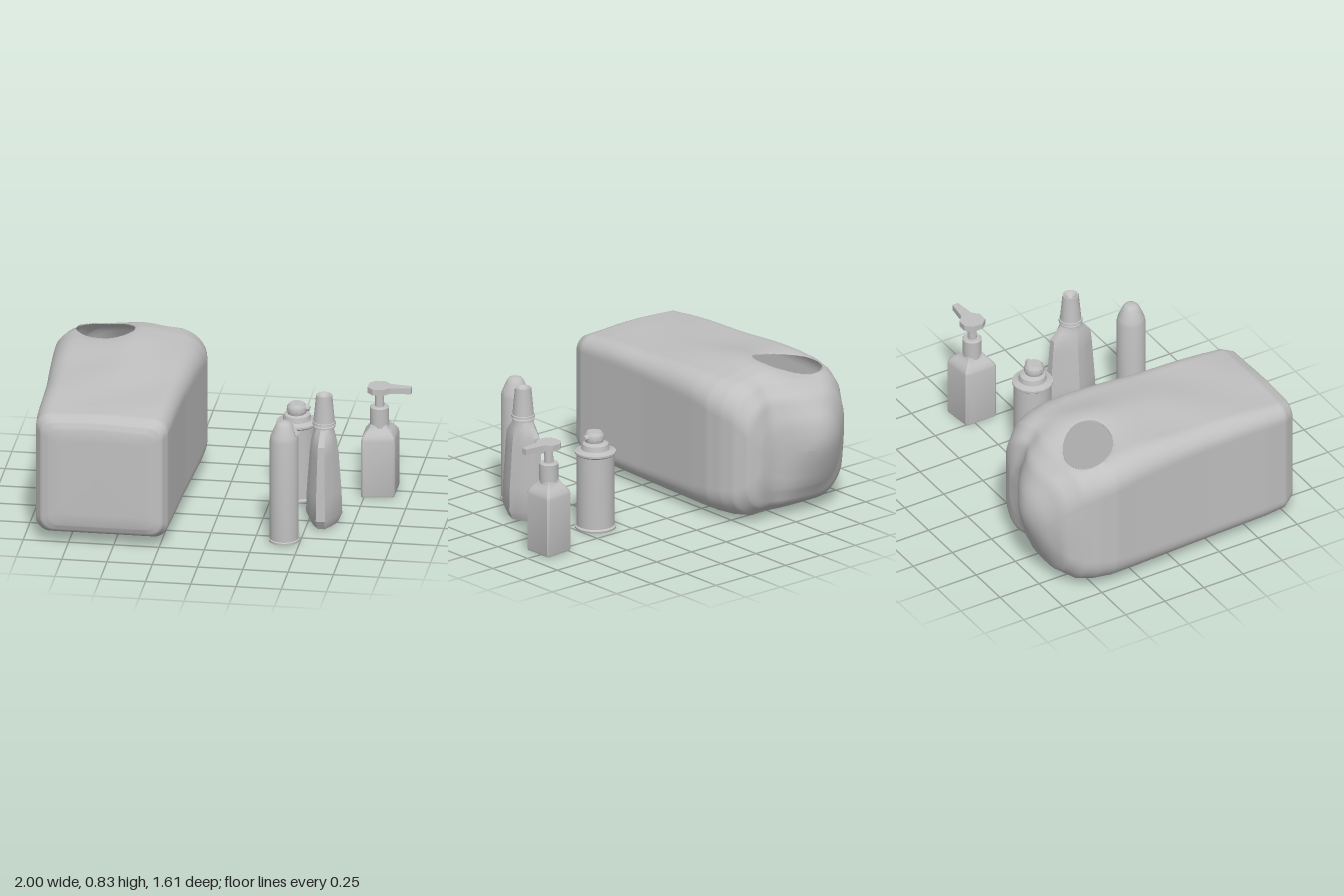
import * as THREE from 'three';
import { toCreasedNormals } from 'three/addons/utils/BufferGeometryUtils.js';

const grey = new THREE.MeshStandardMaterial({ color: 0xc0c0c0, side: THREE.DoubleSide });
grey.name = 'plain grey';

function part(name, geometry, parent, crease = 0.6) {
  const mesh = new THREE.Mesh(toCreasedNormals(geometry, crease), grey);
  mesh.name = name;
  parent.add(mesh);
  return mesh;
}

// Skin over closed rings of equal length; triangles touching a cut vertex are left out.
function loft(rings, isCut = () => false) {
  const n = rings[0].length, index = [];
  const pts = rings.flat();
  const add = (...t) => { if (!t.some((i) => isCut(pts[i]))) index.push(...t); };
  for (let i = 0; i < rings.length - 1; i++) {
    for (let j = 0; j < n; j++) {
      const a = i * n + j, b = i * n + (j + 1) % n;
      add(a, a + n, b);
      add(b, a + n, b + n);
    }
  }
  const g = new THREE.BufferGeometry().setFromPoints(pts);
  g.setIndex(index);
  return g;
}

const lathe = (profile, sides = 24) =>
  new THREE.LatheGeometry(profile.map(([r, y]) => new THREE.Vector2(r, y)), sides);

function group(name, x, z, parent) {
  const g = new THREE.Group();
  g.name = name;
  g.position.set(x, 0, z);
  parent.add(g);
  return g;
}

// Rounded rectangle in the xy plane, counter-clockwise, with subdivided sides.
function roundedRing(x0, x1, y0, y1, r, z) {
  const corners = [[x1 - r, y1 - r], [x0 + r, y1 - r], [x0 + r, y0 + r], [x1 - r, y0 + r]];
  const ring = [], arc = 8, side = 40;
  corners.forEach(([cx, cy], k) => {
    for (let i = 0; i <= arc; i++) {
      const a = (k + i / arc) * Math.PI / 2;
      ring.push(new THREE.Vector3(cx + r * Math.cos(a), cy + r * Math.sin(a), z));
    }
    const [nx, ny] = corners[(k + 1) % 4], a = (k + 1) * Math.PI / 2;
    const from = ring[ring.length - 1].clone();
    const to = new THREE.Vector3(nx + r * Math.cos(a), ny + r * Math.sin(a), z);
    for (let i = 1; i < side; i++) ring.push(from.clone().lerp(to, i / side));
  });
  return ring;
}

// Soft wrapped pack with a torn opening at the back of its top
function buildPack(root) {
  // z, x0, x1, y0, y1, corner radius
  const sections = [
    [0.80, -0.571, -0.569, 0.399, 0.401, 0.0005],
    [0.798, -0.85, -0.28, 0.12, 0.68, 0.05],
    [0.78, -0.90, -0.23, 0.08, 0.72, 0.07],
    [0.72, -0.935, -0.205, 0.05, 0.745, 0.08],
    [0.60, -0.945, -0.20, 0.04, 0.755, 0.09],
    [0.20, -0.955, -0.19, 0.03, 0.775, 0.10],
    [-0.27, -0.99, -0.16, 0.025, 0.79, 0.13],
    [-0.40, -1.00, -0.155, 0.02, 0.79, 0.15],
    [-0.50, -0.985, -0.17, 0.02, 0.78, 0.16],
    [-0.58, -0.955, -0.195, 0.03, 0.75, 0.16],
    [-0.65, -0.90, -0.24, 0.08, 0.68, 0.16],
    [-0.68, -0.80, -0.33, 0.18, 0.56, 0.14],
    [-0.685, -0.571, -0.569, 0.399, 0.401, 0.0005],
  ];
  const rings = [];
  sections.forEach((s, i) => {
    const next = sections[i + 1];
    if (!next) return rings.push(roundedRing(...s.slice(1), s[0]));
    const steps = Math.max(4, Math.ceil((s[0] - next[0]) / 0.015));
    for (let k = 0; k < steps; k++) {
      const v = s.map((a, m) => a + (next[m] - a) * k / steps);
      rings.push(roundedRing(...v.slice(1), v[0]));
    }
  });

  const bump = (v, centre, width) => Math.exp(-(((v - centre) / width) ** 2));
  const hole = { x: -0.72, z: -0.42, c: Math.cos(0.7), s: Math.sin(0.7), a: 0.19, b: 0.135 };
  const holeDistance = (p) => {
    const dx = p.x - hole.x, dz = p.z - hole.z;
    return Math.hypot((dx * hole.c + dz * hole.s) / hole.a, (dz * hole.c - dx * hole.s) / hole.b);
  };
  for (const p of rings.flat()) {
    const { x, y, z } = p;
    const top = THREE.MathUtils.smoothstep(y, 0.45, 0.74);
    // ridge, back bulge and gentle dents
    p.y += top * 0.045 * bump(x, -0.52, 0.16) * bump(z, -0.28, 0.32);
    p.z -= THREE.MathUtils.smoothstep(-z, 0.4, 0.68) * (0.125 * bump(x, -0.68, 0.2) * bump(y, 0.46, 0.27)
      - 0.03 * bump(x, -0.42, 0.07));
    p.y += top * 0.006 * Math.sin(9 * x + 5 * z) * Math.sin(6 * z);
    // torn edge
    const d = holeDistance(p);
    if (y < 0.5) continue;
    p.y -= 0.03 * Math.exp(-d * d);
    if (d > 0.75 && d < 1) {
      p.x = hole.x + (p.x - hole.x) / d;
      p.z = hole.z + (p.z - hole.z) / d;
    }
  }
  part('wrappedPack', loft(rings, (p) => p.y > 0.5 && holeDistance(p) < 0.76), root, 1.1);
}

// Can with rolled rims and a spray button
function buildSprayCan(root) {
  const can = group('sprayCan', 0.385, -0.1, root);
  part('canBody', lathe([[0, 0], [0.112, 0], [0.114, 0.01], [0.104, 0.018], [0.104, 0.425],
    [0.113, 0.433], [0.113, 0.443], [0.098, 0.445], [0.078, 0.455], [0.072, 0.485], [0.055, 0.495], [0, 0.495]]), can);
  const button = part('sprayButton', lathe([[0.05, 0.49], [0.056, 0.51], [0.054, 0.535], [0.04, 0.552], [0, 0.552]], 12), can);
  button.position.z = 0.01;
  const nozzle = part('sprayNozzle', new THREE.CylinderGeometry(0.014, 0.018, 0.025, 10), can);
  nozzle.rotation.z = -Math.PI / 2;
  nozzle.position.set(0.06, 0.525, 0.01);
}

// Tall slim can with a tapering top and a small spout
function buildSlimCan(root) {
  const can = group('slimCan', 0.41, 0.545, root);
  part('slimBody', lathe([[0, 0], [0.084, 0], [0.084, 0.012], [0.079, 0.016], [0.079, 0.595], [0.074, 0.618],
    [0.048, 0.678], [0.035, 0.696], [0.02, 0.702], [0, 0.703]]), can);
  const spout = part('slimSpout', new THREE.ConeGeometry(0.022, 0.055, 3), can);
  spout.position.set(0.058, 0.655, 0.01);
  spout.rotation.z = 0.4;
}

// Faceted bottle with a tapered cap
function buildFacetedBottle(root) {
  const bottle = group('facetedBottle', 0.59, 0.268, root);
  // y, half width, half depth, roundness
  const levels = [[0.01, 0, 0, 0], [0.01, 0.075, 0.115, 0], [0.065, 0.1, 0.146, 0], [0.2, 0.096, 0.139, 0],
    [0.42, 0.08, 0.124, 0.1], [0.49, 0.072, 0.118, 0.3], [0.535, 0.06, 0.085, 0.6], [0.575, 0.048, 0.055, 1], [0.6, 0.048, 0.05, 1]];
  const quarter = [[1, 0], [0.84, 0.28], [0.65, 0.58], [0.25, 1]];
  const outline = [...quarter, ...quarter.slice().reverse().map(([x, z]) => [-x, z])];
  outline.push(...quarter.slice(1).map(([x, z]) => [-x, -z]), ...quarter.slice(1).reverse().map(([x, z]) => [x, -z]));
  const unique = outline.filter(([x, z], i) => i === 0 || x !== outline[i - 1][0] || z !== outline[i - 1][1]);
  const rings = levels.map(([y, w, d, round]) => unique.map(([x, z]) => {
    const k = 1 + (1 / Math.hypot(x, z) - 1) * round;
    return new THREE.Vector3(x * k * w, y, z * k * d);
  }));
  part('facetedBody', loft(rings), bottle, 0.5);
  part('neckRing', lathe([[0.048, 0.568], [0.062, 0.572], [0.062, 0.58], [0.05, 0.584], [0.05, 0.59]]), bottle);
  part('taperedCap', lathe([[0.048, 0.588], [0.066, 0.589], [0.064, 0.602], [0.059, 0.604], [0.045, 0.757],
    [0.038, 0.757], [0, 0.72]], 16), bottle);
}

// Four-sided bottle with a pump
function buildPumpBottle(root) {
  const bottle = group('pumpBottle', 0.823, -0.22, root);
  const corners = [[0.094, 0.08], [-0.09, 0.106], [-0.09, -0.09], [0.094, -0.108]];
  const levels = [[0.004, 0], [0.004, 0.97], [0.015, 1], [0.33, 1], [0.35, 0.95], [0.375, 0.76], [0.395, 0.56], [0.41, 0.5], [0.41, 0]];
  const rings = levels.map(([y, s]) => corners.flatMap(([x, z], k) => {
    // Chamfered corners
    const [px, pz] = corners[(k + 3) % 4], [nx, nz] = corners[(k + 1) % 4];
    return [[px, pz], [nx, nz]].map(([ox, oz]) =>
      new THREE.Vector3((x + (ox - x) * 0.06) * s, y, (z + (oz - z) * 0.06) * s));
  }));
  part('pumpBody', loft(rings), bottle, 0.5);
  part('pumpCollar', lathe([[0.053, 0.39], [0.053, 0.505], [0.045, 0.512], [0.026, 0.512], [0.024, 0.595]], 16), bottle);

  // Pump head with its spout pointing along +x
  const top = new THREE.Shape([[-0.062, -0.03], [-0.03, -0.066], [0.025, -0.066], [0.06, -0.032], [0.177, -0.018],
    [0.177, 0.018], [0.06, 0.032], [0.025, 0.066], [-0.03, 0.066], [-0.062, 0.03]].map(([x, z]) => new THREE.Vector2(x, z)));
  const head = part('pumpHead', new THREE.ExtrudeGeometry(top, { depth: 0.034, bevelEnabled: false }), bottle);
  head.rotation.x = -Math.PI / 2;
  head.position.y = 0.594;
}

export function createModel() {
  const root = new THREE.Group();
  root.name = 'packAndBottles';
  buildPack(root);
  buildSprayCan(root);
  buildSlimCan(root);
  buildFacetedBottle(root);
  buildPumpBottle(root);
  return root;
}
